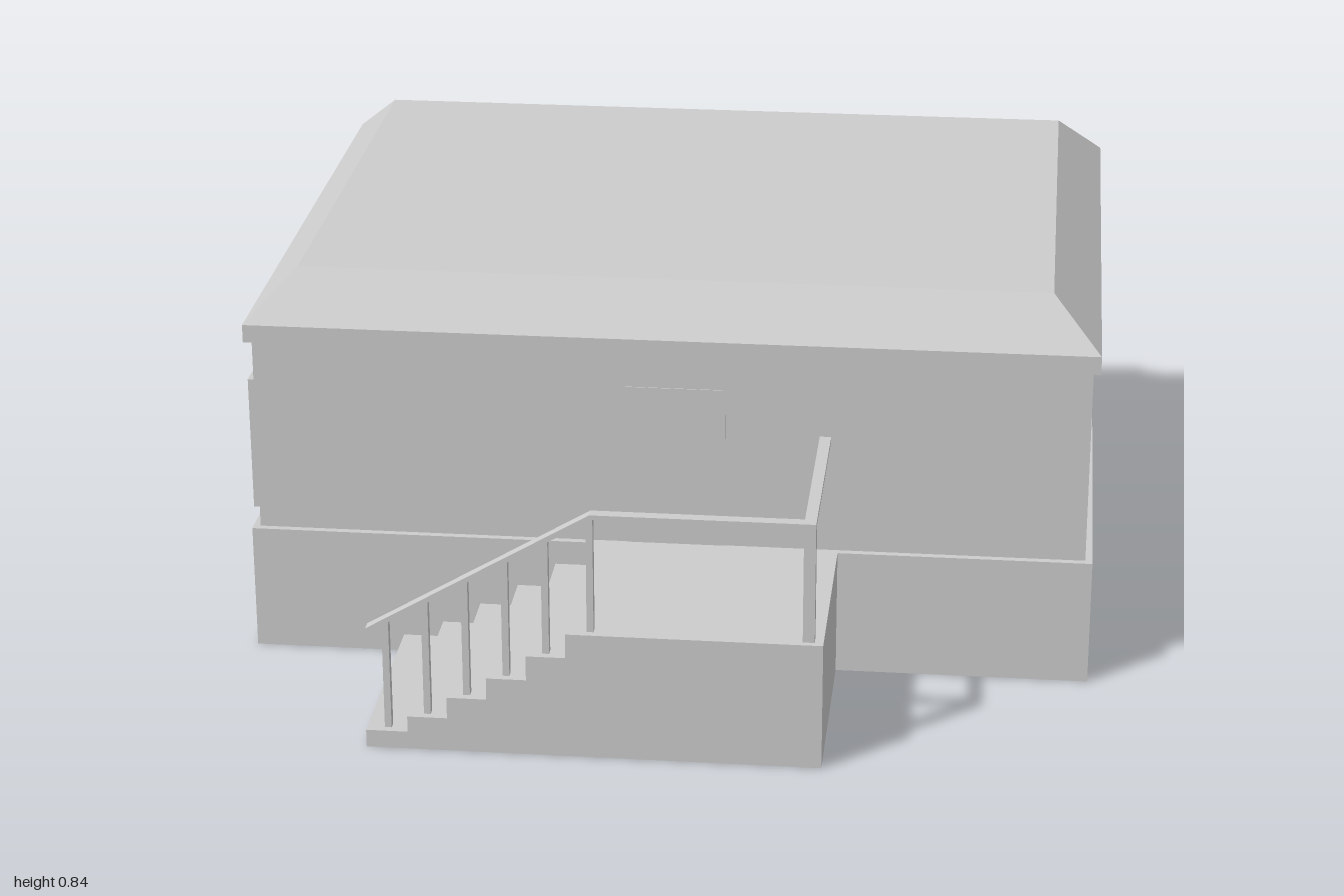
import * as THREE from 'three';

const mat = new THREE.MeshStandardMaterial({ color: 0xcccccc, flatShading: true });

export function createModel() {
  const model = new THREE.Group();

  const add = (name, geometry) => {
    const mesh = new THREE.Mesh(geometry, mat);
    mesh.name = name;
    model.add(mesh);
    return mesh;
  };
  // Box given by its limits on each axis
  const box = (name, x0, x1, y0, y1, z0, z1) =>
    add(name, new THREE.BoxGeometry(x1 - x0, y1 - y0, z1 - z0)
      .translate((x0 + x1) / 2, (y0 + y1) / 2, (z0 + z1) / 2));

  // Main body: plinth and walls
  box('plinth', -0.895, 0.895, 0, 0.275, -0.77, 0.557);
  box('walls', -0.88, 0.88, 0, 0.71, -0.778, 0.542);
  box('door', -0.09, 0.12, 0.275, 0.63, 0.54, 0.544);
  box('sidePanel', -0.9, -0.875, 0.305, 0.6, -0.71, 0.51);

  // Roof: eave band with a bevelled, flat-topped cap
  box('eave', -0.895, 0.895, 0.703, 0.742, -0.8, 0.558);
  const cap = new THREE.BoxGeometry(1.79, 0.098, 1.358);
  const p = cap.attributes.position;
  for (let i = 0; i < p.count; i++) {
    if (p.getY(i) > 0) {
      p.setX(i, Math.sign(p.getX(i)) * 0.793);
      p.setZ(i, Math.sign(p.getZ(i)) * 0.577);
    }
  }
  cap.translate(0, 0.791, -0.121);
  cap.computeVertexNormals();
  add('roof', cap);

  // Rear blocks and the canopies between them
  for (const [x0, x1] of [[-0.88, -0.6], [-0.087, 0.115], [0.6, 0.877]])
    box('rearBlock', x0, x1, 0, 0.275, -1, -0.765);
  for (const [x0, x1] of [[-0.593, -0.087], [0.115, 0.6]])
    box('rearCanopy', x0, x1, 0.638, 0.703, -0.845, -0.77);

  // Porch with stairs, extruded from its stepped side profile
  const stepX = [-0.573, -0.487, -0.405, -0.323, -0.241, -0.16];
  const stepY = [0.038, 0.073, 0.12, 0.168, 0.222, 0.275];
  const profile = new THREE.Shape();
  profile.moveTo(stepX[0], 0);
  stepX.forEach((x, i) => {
    profile.lineTo(x, stepY[i]);
    profile.lineTo(stepX[i + 1] ?? 0.36, stepY[i]);
  });
  profile.lineTo(0.36, 0);
  add('porchStairs', new THREE.ExtrudeGeometry(profile, { depth: 0.46, bevelEnabled: false })
    .translate(0, 0, 0.54));

  // Railing: sloping handrail, level rails and posts
  const zIn = 0.963, zOut = 0.987;
  const rail = new THREE.Shape([
    [-0.57, 0.25], [-0.105, 0.524], [0.342, 0.524], [0.342, 0.534], [-0.11, 0.534], [-0.57, 0.262],
  ].map(([x, y]) => new THREE.Vector2(x, y)));
  add('handrail', new THREE.ExtrudeGeometry(rail, { depth: zOut - zIn, bevelEnabled: false })
    .translate(0, 0, zIn));
  box('sideRail', 0.318, 0.342, 0.524, 0.534, 0.54, zIn);
  [-0.53, -0.448, -0.366, -0.284, -0.202, -0.111].forEach((x, i) => {
    const top = Math.min(0.528, 0.256 + (x + 0.57) * 0.59);
    box('railPost', x - 0.007, x + 0.007, stepY[i] - 0.01, top, zIn + 0.003, zOut - 0.003);
  });
  box('cornerPost', 0.318, 0.342, 0.27, 0.528, zIn, zOut);

  return model;
}
